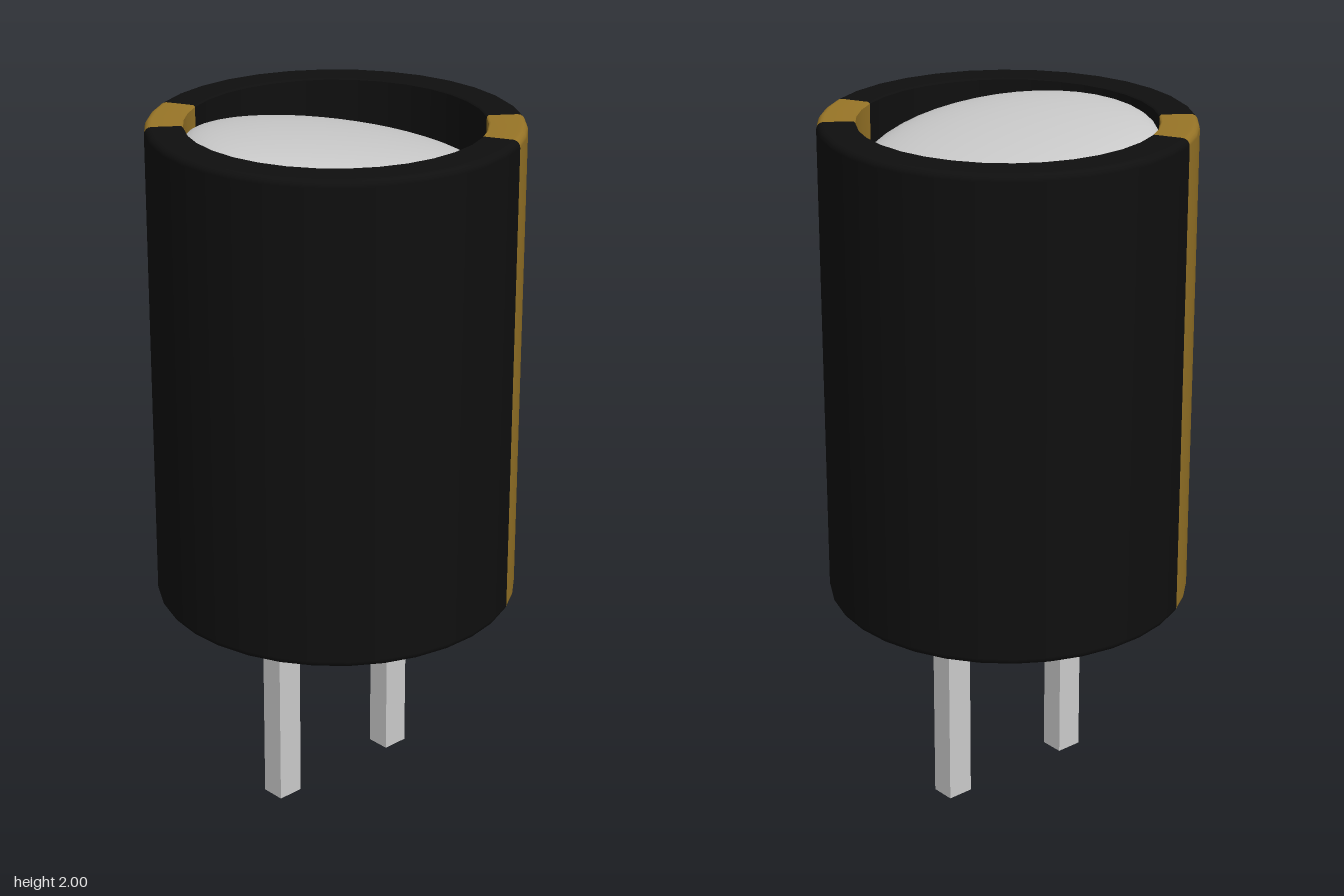
import * as THREE from 'three';

const DEG = Math.PI / 180;
const BOTTOM = 0.61, TOP = 2, OUTER = 0.515, INNER = 0.41;

export function createModel() {
  const model = new THREE.Group();
  const grey = new THREE.MeshStandardMaterial({ color: 0xcccccc });
  const black = new THREE.MeshStandardMaterial({ color: 0x0f0f0f });
  const gold = new THREE.MeshStandardMaterial({ color: 0x987527 });

  const add = (name, geometry, material, x = 0, y = 0, z = 0) => {
    const mesh = new THREE.Mesh(geometry, material);
    mesh.name = name;
    mesh.position.set(x, y, z);
    model.add(mesh);
    return mesh;
  };

  // Sleeve wall profile: a closed tube section with rounded outer rims
  const profile = [];
  const r = 0.02;
  const point = (x, y) => profile.push(new THREE.Vector2(x, y));
  point(INNER, TOP - 0.005);
  point(INNER, BOTTOM + 0.005);
  point(INNER + 0.005, BOTTOM);
  for (let i = 0; i <= 4; i++) {
    const a = (-90 + i * 22.5) * DEG;
    point(OUTER - r + r * Math.cos(a), BOTTOM + r + r * Math.sin(a));
  }
  for (let i = 0; i <= 4; i++) {
    const a = i * 22.5 * DEG;
    point(OUTER - r + r * Math.cos(a), TOP - r + r * Math.sin(a));
  }
  point(INNER + 0.005, TOP);
  point(INNER, TOP - 0.005);

  // Two opposite gold stripes and the black arcs between them
  const arc = (name, material, start, end, segments) =>
    add(name, new THREE.LatheGeometry(profile, segments, start * DEG, (end - start) * DEG), material);
  for (const turn of [0, 180]) {
    arc('stripe', gold, 27 + turn, 54 + turn, 3);
    arc('sleeve', black, 54 + turn, 207 + turn, 14);
  }

  // Shallow domed top, leaning slightly to one side
  const dome = add('domedTop', new THREE.SphereGeometry(INNER, 40, 14, 0, Math.PI * 2, 0, Math.PI / 2),
    grey, -0.004, 1.9, 0);
  dome.scale.y = 0.17;
  dome.rotation.z = -0.16;

  // Flat base closing the sleeve
  const base = add('base', new THREE.CircleGeometry(0.435, 40), grey, 0, BOTTOM - 0.006, 0);
  base.rotation.x = Math.PI / 2;

  // Square pins
  for (const side of [-1, 1]) {
    add('pin', new THREE.BoxGeometry(0.078, BOTTOM, 0.07), grey, side * 0.213, BOTTOM / 2, 0);
  }
  return model;
}
